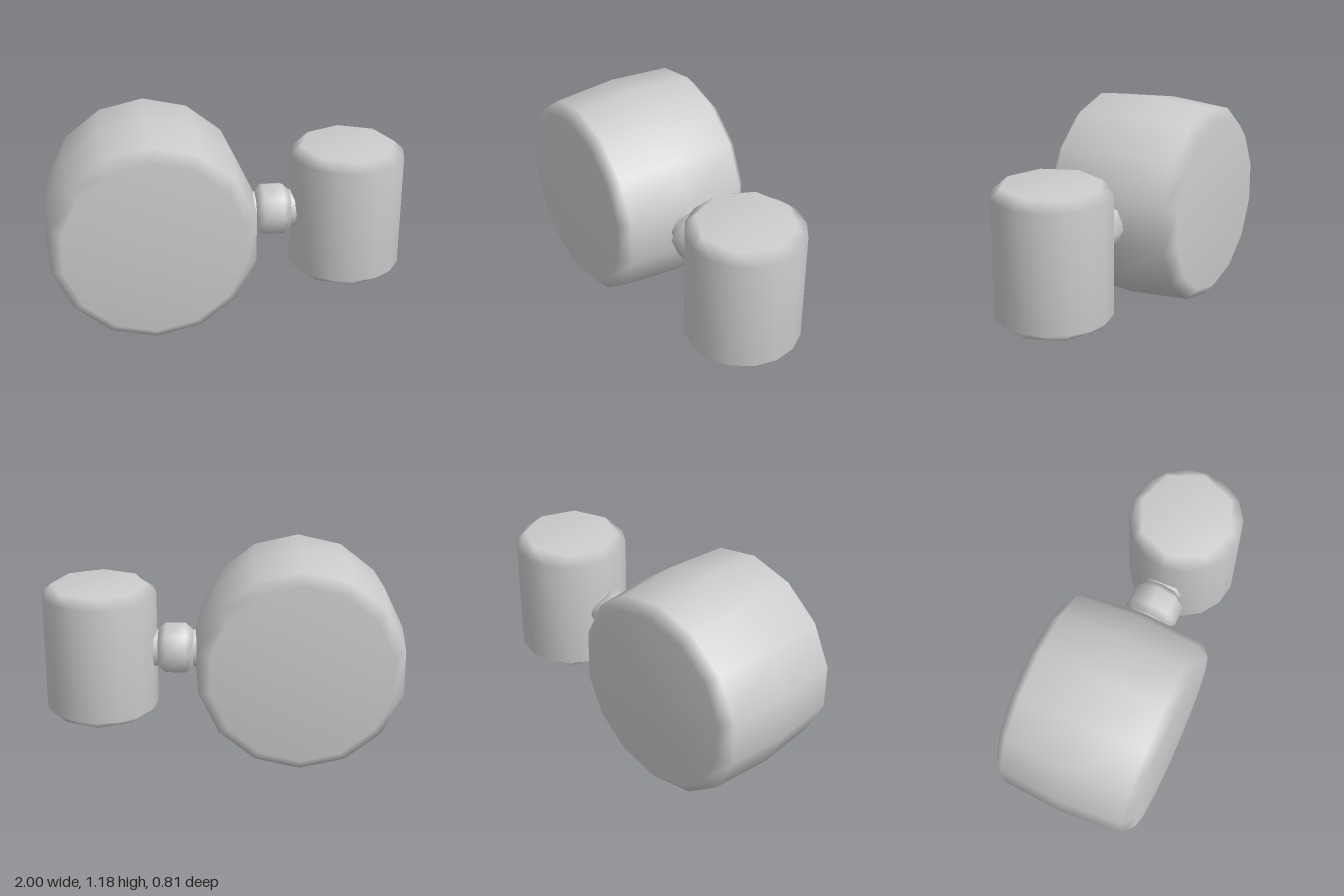
import * as THREE from 'three';

const material = new THREE.MeshStandardMaterial({ color: 0xcccccc });
const openMaterial = new THREE.MeshStandardMaterial({ color: 0xcccccc, side: THREE.DoubleSide });

// Smooth lathe from [radius, height] pairs listed bottom to top
function lathe(profile, sides) {
  return new THREE.LatheGeometry(profile.map(([r, y]) => new THREE.Vector2(r, y)), sides);
}

export function createModel() {
  const group = new THREE.Group();
  const add = (name, geometry, x, y, mat = material) => {
    const mesh = new THREE.Mesh(geometry, mat);
    mesh.name = name;
    mesh.position.set(x, y, 0);
    group.add(mesh);
  };

  // Large drum lying along z, slightly bulged, with chamfered rims
  const drum = lathe([
    [0, -0.405], [0.5, -0.405], [0.565, -0.35], [0.59, 0],
    [0.565, 0.35], [0.5, 0.405], [0, 0.405],
  ], 14).rotateX(Math.PI / 2);
  add('drum', drum, -0.425, 0.59);

  // Upright canister, open underneath; its end rims have half as many corners
  const canister = lathe([
    [0.265, -0.375], [0.317, -0.325], [0.317, 0.325], [0.265, 0.375], [0, 0.375],
  ], 16);
  const pos = canister.attributes.position;
  const rows = 5;
  for (let i = 0; i < pos.count; i++) {
    const row = i % rows;
    const segment = Math.floor(i / rows);
    if (segment % 2 === 1 && (row === 0 || row === 3)) {
      const k = Math.cos(Math.PI / 8);
      pos.setX(i, pos.getX(i) * k);
      pos.setZ(i, pos.getZ(i) * k);
    }
  }
  add('canister', canister, 0.683, 0.595, openMaterial);

  // Connecting rod running into both bodies
  const rod = lathe([[0.11, -0.16], [0.11, 0.16]], 8).rotateZ(-Math.PI / 2);
  add('rod', rod, 0.26, 0.595, openMaterial);

  // Chamfered collar around the rod
  const collar = lathe([
    [0, -0.097], [0.11, -0.097], [0.15, -0.055], [0.15, 0.055], [0.11, 0.097], [0, 0.097],
  ], 8).rotateZ(-Math.PI / 2);
  add('collar', collar, 0.262, 0.595);

  return group;
}
